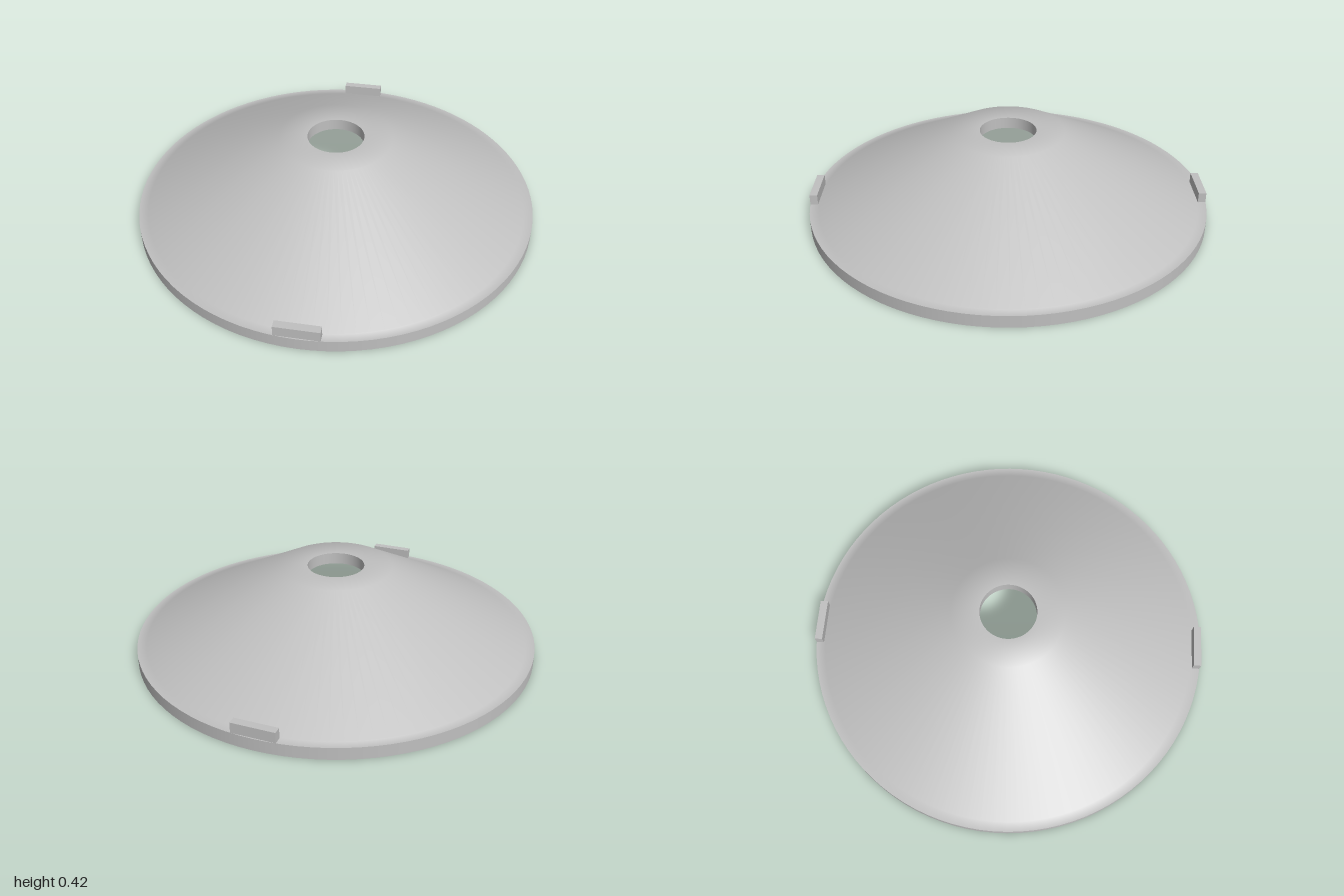
import * as THREE from 'three';

const SEGMENTS = 96;

export function createModel() {
  const model = new THREE.Group();
  model.name = 'conicalCover';
  const grey = new THREE.MeshStandardMaterial({ color: 0xc0c0c0 });
  grey.name = 'plain grey';

  // Revolved surfaces: the profile runs counter-clockwise, split at sharp edges
  const surfaces = {
    rimWall: [[1, 0], [1, 0.06]],
    outerCone: [[1, 0.06], [0.955, 0.06], [0.28, 0.42], [0.14, 0.42]],
    holeWall: [[0.14, 0.42], [0.14, 0.363]],
    innerCone: [[0.14, 0.363], [0.27, 0.363], [0.952, 0]],
    rimUnderside: [[0.952, 0], [1, 0]],
  };
  const shell = new THREE.Group();
  shell.name = 'shell';
  for (const [name, profile] of Object.entries(surfaces)) {
    const points = profile.map(([r, y]) => new THREE.Vector2(r, y));
    const mesh = new THREE.Mesh(new THREE.LatheGeometry(points, SEGMENTS), grey);
    mesh.name = name;
    shell.add(mesh);
  }
  model.add(shell);

  // Locking tabs standing on the rim, front and back
  for (const [name, side] of [['frontTab', 1], ['backTab', -1]]) {
    const tab = new THREE.Mesh(new THREE.BoxGeometry(0.21, 0.07, 0.038), grey);
    tab.position.set(0, 0.077, side * 0.975);
    tab.name = name;
    model.add(tab);
  }
  return model;
}
